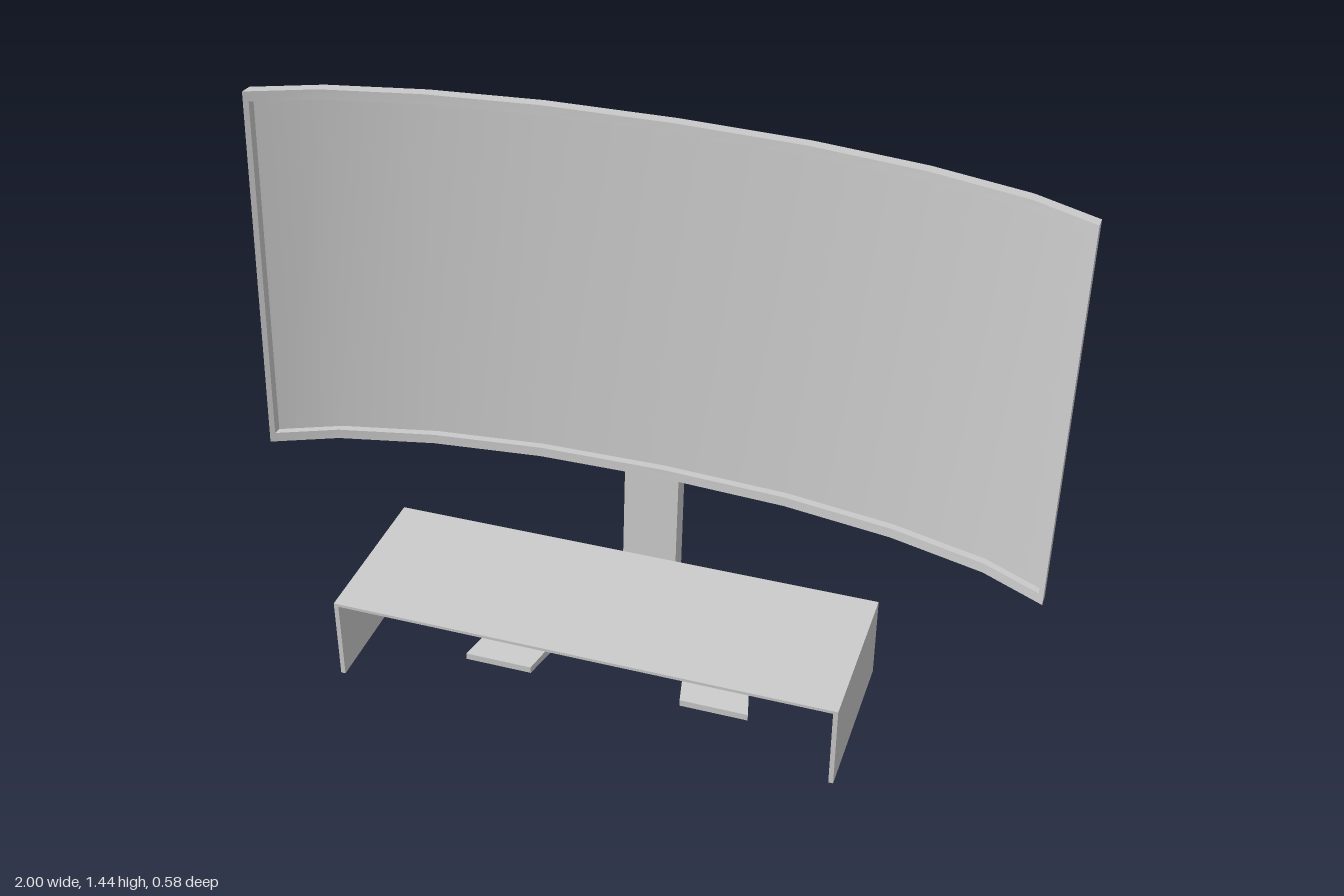
import * as THREE from 'three';

const material = new THREE.MeshStandardMaterial({ color: 0xcccccc });

function add(parent, name, geometry) {
  const mesh = new THREE.Mesh(geometry, material);
  mesh.name = name;
  parent.add(mesh);
  return mesh;
}

function box(parent, name, [x0, x1], [y0, y1], [z0, z1]) {
  const mesh = add(parent, name, new THREE.BoxGeometry(x1 - x0, y1 - y0, z1 - z0));
  mesh.position.set((x0 + x1) / 2, (y0 + y1) / 2, (z0 + z1) / 2);
}

// Forward bow of the screen at a distance x from its middle
const BOW = [[0, 0], [0.325, 0.013], [0.605, 0.055], [0.845, 0.1225], [1, 0.205]];
function bow(x) {
  const a = Math.abs(x);
  const i = Math.min(BOW.findIndex(([bx]) => bx >= a - 1e-9), BOW.length - 1) || 1;
  const [x0, z0] = BOW[i - 1], [x1, z1] = BOW[i];
  return z0 + ((a - x0) / (x1 - x0)) * (z1 - z0);
}

// Sweep a closed [z, y] section along the bow; sharp around it, smooth along x
function sweep(section, xs, capped) {
  const pos = [], index = [];
  const put = (x, [z, y]) => pos.push(x, y, z + bow(x)) / 3 - 1;
  section.forEach((a, k) => {
    const b = section[(k + 1) % section.length];
    const rows = xs.map((x) => [put(x, a), put(x, b)]);
    for (let i = 0; i + 1 < rows.length; i++) {
      const [a0, b0] = rows[i], [a1, b1] = rows[i + 1];
      index.push(a0, b0, a1, a1, b0, b1);
    }
  });
  if (capped) {
    const [s0, s1, s2, s3] = section.map((p) => put(xs[0], p));
    const [e0, e1, e2, e3] = section.map((p) => put(xs[xs.length - 1], p));
    index.push(s0, s2, s1, s0, s3, s2, e0, e1, e2, e0, e2, e3);
  }
  const geometry = new THREE.BufferGeometry();
  geometry.setAttribute('position', new THREE.Float32BufferAttribute(pos, 3));
  geometry.setIndex(index);
  geometry.computeVertexNormals();
  return geometry;
}

// Flat slab from an [x, z] outline, between two heights
function slab(outline, y0, y1) {
  const shape = new THREE.Shape(outline.map(([x, z]) => new THREE.Vector2(x, z)));
  return new THREE.ExtrudeGeometry(shape, { depth: y1 - y0, bevelEnabled: false })
    .rotateX(Math.PI / 2).translate(0, y1, 0);
}

function createScreen() {
  const H = 0.952, D = 0.035, bezel = 0.025, recess = 0.022, edge = 0.988;
  const screen = new THREE.Group();
  screen.name = 'screen';
  const inner = [-0.845, -0.605, -0.325, 0, 0.325, 0.605, 0.845];
  add(screen, 'curvedPanel', sweep([
    [0, 0], [0, H], [D, H], [D, H - bezel], [D - recess, H - bezel],
    [D - recess, bezel], [D, bezel], [D, 0],
  ], [-edge, ...inner, edge], false));
  const rim = [[0, 0], [0, H], [D, H], [D, 0]];
  add(screen, 'rightBezel', sweep(rim, [-1, -edge], true));
  add(screen, 'leftBezel', sweep(rim, [edge, 1], true));
  screen.rotation.set(-0.0685, -0.025, 0, 'YXZ');
  screen.position.set(0.003, 0.472, -0.19);
  return screen;
}

function createStand() {
  const stand = new THREE.Group();
  stand.name = 'stand';

  // Leaning neck with a top that rises toward the back
  const neck = new THREE.BoxGeometry(0.144, 1, 1);
  const p = neck.attributes.position;
  for (let i = 0; i < p.count; i++) {
    const top = p.getY(i) > 0, front = p.getZ(i) > 0;
    p.setY(i, top ? (front ? 0.718 : 0.73) : 0.04);
    p.setZ(i, front ? (top ? -0.21 : -0.16) : (top ? -0.262 : -0.215));
  }
  neck.computeVertexNormals();
  add(stand, 'neck', neck).position.x = -0.035;

  // Foot: rear plate and two splayed arms that thin toward their tips
  const low = 0.015, high = 0.045, crease = -0.12, mid = -0.048;
  add(stand, 'footPlate', slab([
    [mid - 0.31, crease], [mid - 0.27, -0.262], [mid - 0.24, -0.29],
    [mid + 0.24, -0.29], [mid + 0.27, -0.262], [mid + 0.31, crease],
  ], low, high));
  for (const side of [-1, 1]) {
    const outline = [[0.31, crease], [0.378, 0.155], [0.2, 0.155], [0.14, crease]]
      .map(([x, z]) => [mid + side * x, z]);
    const arm = slab(outline, low, high);
    const q = arm.attributes.position;
    for (let i = 0; i < q.count; i++) {
      if (q.getZ(i) > 0 && q.getY(i) > 0.03) q.setY(i, 0.033);
    }
    arm.computeVertexNormals();
    add(stand, side < 0 ? 'rightFootArm' : 'leftFootArm', arm);
  }
  return stand;
}

function createShelf() {
  const shelf = new THREE.Group();
  shelf.name = 'deskShelf';
  const z = [-0.145, 0.29], t = 0.012;
  box(shelf, 'shelfTop', [-0.72, 0.582], [0.219, 0.227], z);
  box(shelf, 'rightShelfWall', [-0.72, -0.72 + t], [0, 0.219], z);
  box(shelf, 'leftShelfWall', [0.582 - t, 0.582], [0, 0.219], z);
  return shelf;
}

export function createModel() {
  const model = new THREE.Group();
  model.name = 'curvedMonitorWithShelf';
  model.add(createScreen(), createStand(), createShelf());
  return model;
}
